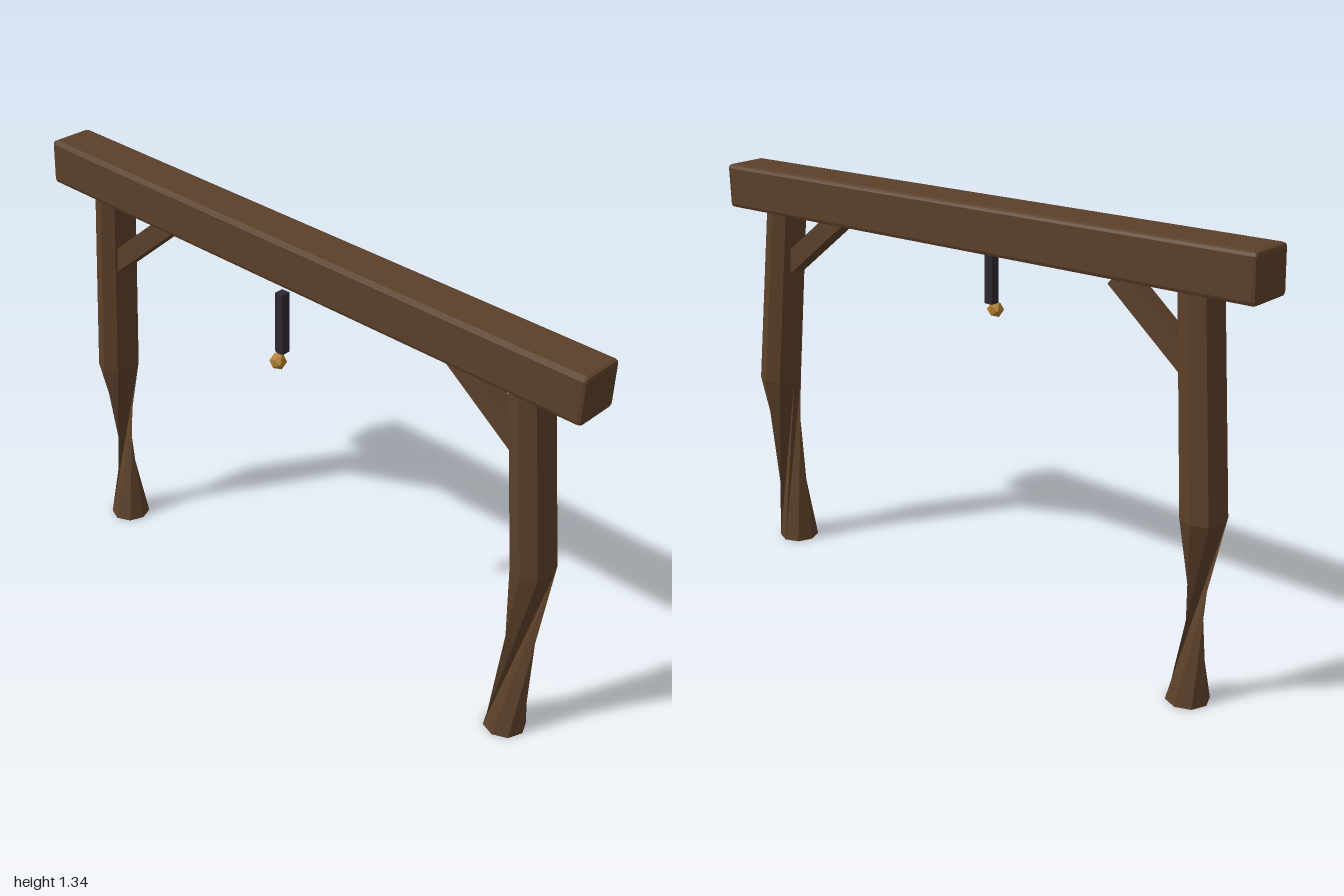
import * as THREE from 'three';
import { RoundedBoxGeometry } from 'three/addons/geometries/RoundedBoxGeometry.js';

const mat = (name, color) =>
  Object.assign(new THREE.MeshStandardMaterial({ color, flatShading: true }), { name });

// Eight-sided post: rings are [x, y, z, radius, twist], listed from top to bottom
function postGeometry(rings) {
  const geo = new THREE.CylinderGeometry(1, 1, 2, 8, rings.length - 1);
  const p = geo.attributes.position;
  const v = new THREE.Vector3();
  const up = new THREE.Vector3(0, 1, 0);
  for (let i = 0; i < p.count; i++) {
    const [x, y, z, r, twist] = rings[Math.round(1 - p.getY(i))];
    v.set(p.getX(i) * r, 0, p.getZ(i) * r).applyAxisAngle(up, twist);
    p.setXYZ(i, x + v.x, y, z + v.z);
  }
  geo.computeVertexNormals();
  return geo;
}

export function createModel() {
  const model = new THREE.Group();
  model.name = 'timberGateway';
  const wood = mat('darkWood', 0x5c4029);
  const iron = mat('darkIron', 0x2e2832);
  const brass = mat('brass', 0xb5812f);

  const add = (name, geo, material, x = 0, y = 0, z = 0) => {
    const mesh = new THREE.Mesh(geo, material);
    mesh.name = name;
    mesh.position.set(x, y, z);
    model.add(mesh);
    return mesh;
  };

  // Sagging top beam with chamfered edges
  const beam = add('topBeam', new RoundedBoxGeometry(1.995, 0.14, 0.145, 1, 0.012), wood, 0, 1.244, -0.02);
  beam.rotation.set(0, -0.008, -0.036);

  // Crooked posts, straight above the bend and twisted below it
  add('leftPost', postGeometry([
    [0.79, 1.19, -0.02, 0.062, 0],
    [0.838, 0.58, -0.039, 0.066, 0],
    [0.806, 0.005, -0.016, 0.064, -Math.PI / 2],
  ]), wood);
  add('rightPost', postGeometry([
    [-0.79, 1.23, -0.025, 0.062, 0],
    [-0.844, 0.58, -0.036, 0.066, 0],
    [-0.81, 0.005, -0.016, 0.064, -Math.PI * 0.75],
  ]), wood);

  // Diagonal braces between posts and beam
  const brace = (name, x0, y0, x1, y1) => {
    const len = Math.hypot(x1 - x0, y1 - y0);
    const mesh = add(name, new THREE.BoxGeometry(len, 0.06, 0.06), wood, (x0 + x1) / 2, (y0 + y1) / 2, -0.02);
    mesh.rotation.z = Math.atan2(y1 - y0, x1 - x0);
  };
  brace('leftBrace', 0.8, 0.955, 0.53, 1.172);
  brace('rightBrace', -0.8, 0.97, -0.53, 1.19);

  // Hanging bar and faceted bell in front of the beam
  add('hangingBar', new THREE.BoxGeometry(0.028, 0.19, 0.03), iron, 0, 1.077, 0.066);
  add('bell', new THREE.IcosahedronGeometry(0.026, 0), brass, 0, 0.959, 0.084);

  return model;
}
